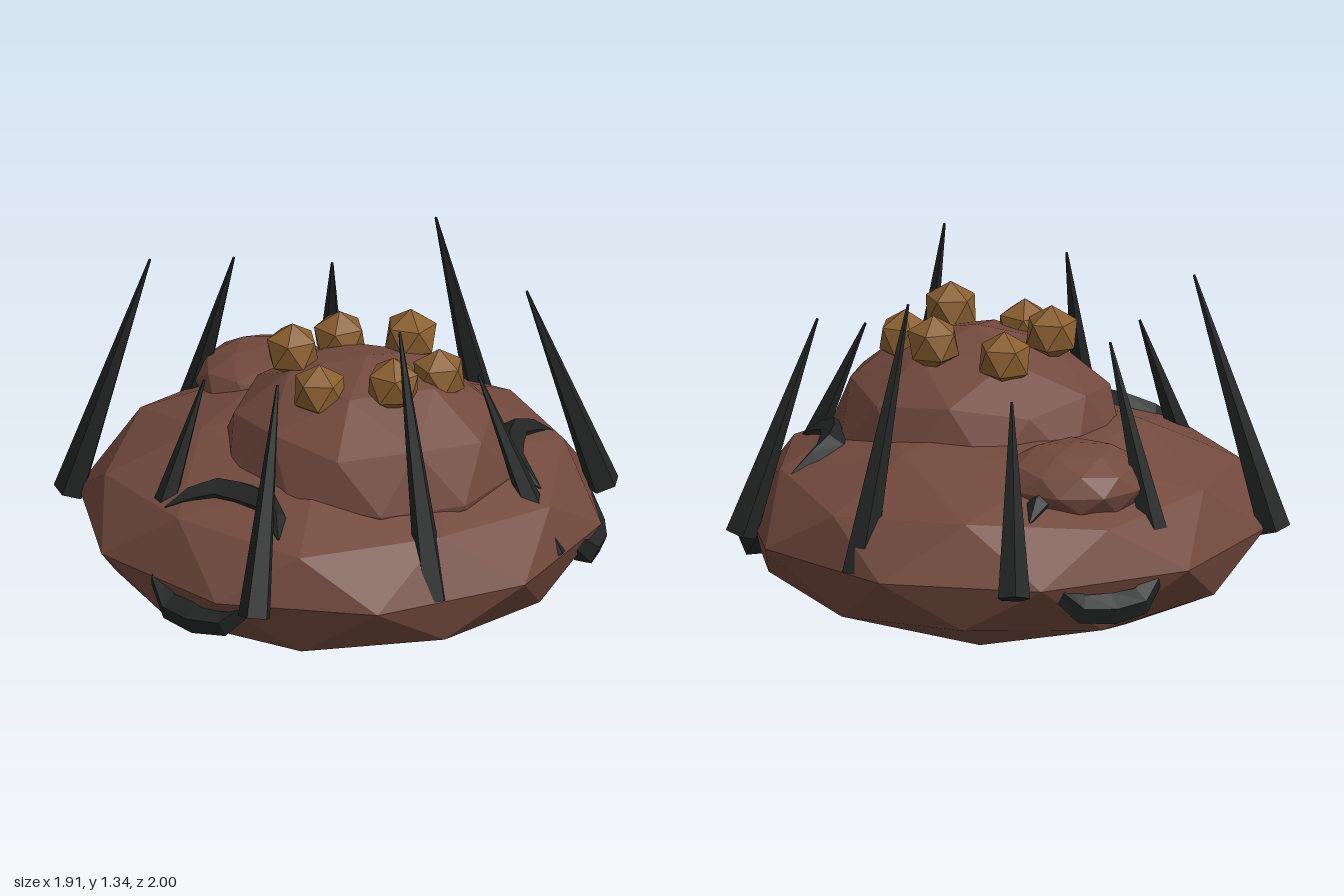
import * as THREE from 'three';

const skin = new THREE.MeshStandardMaterial({ color: 0x734a3e });
skin.name = 'brown skin';
const horn = new THREE.MeshStandardMaterial({ color: 0x232525 });
horn.name = 'black horn';
const amber = new THREE.MeshStandardMaterial({ color: 0x8a5f30 });
amber.name = 'amber';

// Faceted normals
function flat(geometry) {
  const g = geometry.index ? geometry.toNonIndexed() : geometry;
  g.computeVertexNormals();
  return g;
}

// Icosphere with a pole on the y axis, stretched to the given radii
function blob(name, material, detail, [rx, ry, rz], position, turn = 0) {
  const g = new THREE.IcosahedronGeometry(1, detail);
  g.rotateX(-Math.atan((1 + Math.sqrt(5)) / 2));
  g.rotateY(Math.PI / 2 + turn);
  g.scale(rx, ry, rz);
  const mesh = new THREE.Mesh(flat(g), material);
  mesh.name = name;
  mesh.position.set(...position);
  return mesh;
}

// Slim five-sided spike from base to tip
function spike(base, tip) {
  const a = new THREE.Vector3(...base);
  const b = new THREE.Vector3(...tip);
  const dir = b.clone().sub(a);
  const g = new THREE.CylinderGeometry(0.005, 0.062, dir.length(), 5);
  const mesh = new THREE.Mesh(flat(g), horn);
  mesh.name = 'spike';
  mesh.position.copy(a).add(b).multiplyScalar(0.5);
  mesh.quaternion.setFromUnitVectors(new THREE.Vector3(0, 1, 0), dir.normalize());
  return mesh;
}

// Curved lip, thick in the middle and pointed at both ends
function lip(name, half, radius) {
  const mirrored = half.slice(1).reverse().map(([x, y, z]) => [-x, y, z]);
  const curve = new THREE.CatmullRomCurve3(
    [...mirrored, ...half].map((p) => new THREE.Vector3(...p)));
  const segments = 6, sides = 5;
  const g = new THREE.TubeGeometry(curve, segments, radius, sides);
  const pos = g.attributes.position;
  const v = new THREE.Vector3();
  for (let i = 0; i <= segments; i++) {
    const t = i / segments;
    const centre = curve.getPointAt(t);
    const size = Math.max(0.04, Math.pow(Math.sin(Math.PI * t), 0.6));
    for (let j = 0; j <= sides; j++) {
      const k = i * (sides + 1) + j;
      v.fromBufferAttribute(pos, k).sub(centre).multiplyScalar(size).add(centre);
      pos.setXYZ(k, v.x, v.y, v.z);
    }
  }
  const mesh = new THREE.Mesh(flat(g), horn);
  mesh.name = name;
  return mesh;
}

export function createModel() {
  const model = new THREE.Group();
  model.name = 'spikyCreature';

  // Squashed body, crown and side lump
  model.add(blob('body', skin, 1, [0.96, 0.4, 0.96], [0.03, 0.4, -0.04]));
  model.add(blob('crown', skin, 1, [0.55, 0.41, 0.5], [0.19, 0.66, 0.055], -0.09));
  model.add(blob('lump', skin, 1, [0.27, 0.14, 0.26], [-0.42, 0.68, -0.34], 0.25));

  // Ring of nodules on the crown
  const nodules = [
    [-0.02, 1.02, -0.13], [0.24, 1.06, -0.19], [0.44, 1.01, -0.03],
    [0.38, 1.06, 0.21], [0.12, 1.01, 0.29], [-0.08, 1.06, 0.12],
  ];
  nodules.forEach((p, i) =>
    model.add(blob('nodule', amber, 0, [0.104, 0.104, 0.104], p, i * 0.5)));

  // Ring of spikes leaning inwards: base, tip
  const spikes = [
    [[-0.9, 0.39, 0.29], [-0.62, 1.335, 0.2]],
    [[0.7, 0.39, 0.51], [0.47, 1.335, 0.33]],
    [[0.17, 0.39, -0.91], [0.125, 1.335, -0.6]],
    [[0.2, 0.39, 0.94], [0.14, 1.185, 0.65]],
    [[-0.77, 0.39, -0.33], [-0.51, 1.185, -0.24]],
    [[0.78, 0.39, -0.66], [0.56, 1.185, -0.48]],
    [[-0.47, 0.39, -0.91], [-0.32, 1.04, -0.64]],
    [[-0.38, 0.39, 0.67], [-0.26, 1.04, 0.46]],
    [[0.9, 0.39, -0.035], [0.6, 1.04, -0.035]],
  ];
  for (const [base, tip] of spikes) model.add(spike(base, tip));

  // Three mouths spaced evenly around the body
  for (let i = 0; i < 3; i++) {
    const mouth = new THREE.Group();
    mouth.name = 'mouth';
    mouth.add(lip('upperLip', [[0, 0.665, 0.61], [0.13, 0.66, 0.63], [0.25, 0.61, 0.75]], 0.06));
    mouth.add(lip('lowerLip', [[0, 0.3, 0.91], [0.14, 0.32, 0.89], [0.25, 0.48, 0.82]], 0.06));
    mouth.position.set(0.03, 0, -0.04);
    mouth.rotation.y = -0.12 + (i * Math.PI * 2) / 3;
    model.add(mouth);
  }
  return model;
}
